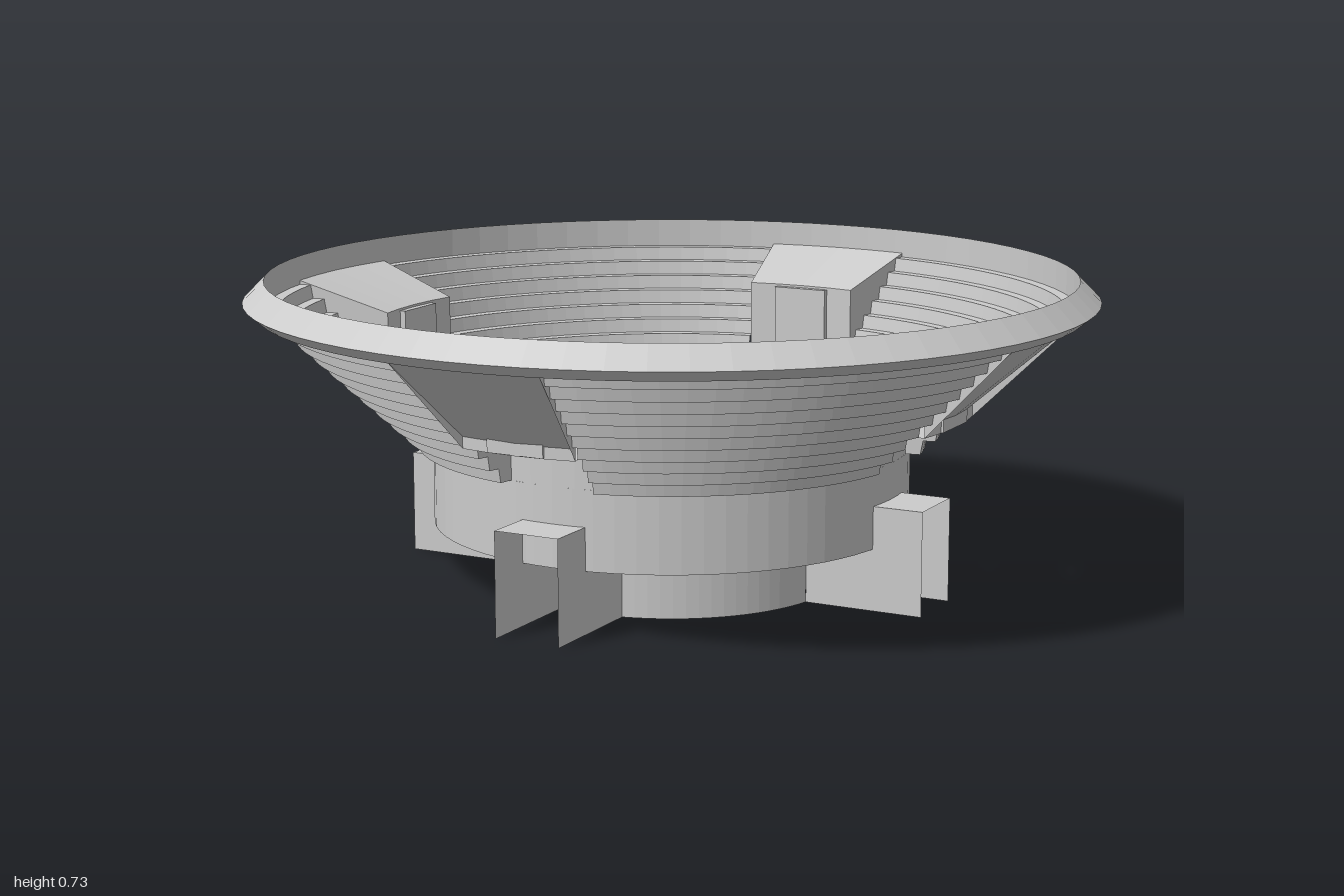
import * as THREE from 'three';

const mat = new THREE.MeshStandardMaterial({ color: 0xcccccc, flatShading: true, side: THREE.DoubleSide });
const HALF = THREE.MathUtils.degToRad(11.3); // half angle of each gate sector
const QUARTER = Math.PI / 2;

function add(parent, name, geometry) {
  const mesh = new THREE.Mesh(geometry, mat);
  mesh.name = name;
  parent.add(mesh);
  return mesh;
}

const points = (list) => list.map(([r, y]) => new THREE.Vector2(r, y));

// Revolve a [radius, height] profile around y, centred on angle mid
function sweep(profile, mid = 0, span = Math.PI * 2, segments = 72) {
  return new THREE.LatheGeometry(points(profile), segments, mid - span / 2, span);
}

// Flat radial wall: a [radius, height] outline standing at angle phi
function radialWall(outline, phi) {
  return new THREE.ShapeGeometry(new THREE.Shape(points(outline))).rotateY(phi - QUARTER);
}

export function createModel() {
  const model = new THREE.Group();
  model.name = 'arena';

  // Stepped seating profile
  const steps = [[0.565, 0.33]];
  for (let i = 0; i < 10; i++) {
    const r = 0.6 + 0.035 * i;
    const y = 0.33 + 0.033 * i;
    steps.push([r, y], [r + 0.006, y + 0.033]);
  }
  steps.push([0.95, 0.66]);

  // Rim and lower drum with its annular floor
  add(model, 'rim', sweep([[0.95, 0.655], [0.95, 0.73], [1, 0.68], [0.97, 0.655], [0.95, 0.655]]));
  add(model, 'drum', sweep([[0.39, 0.145], [0.565, 0.145], [0.565, 0.33]]));

  // Raised cross-shaped stage
  const arm = 0.08;
  const a = Math.asin(arm / 0.4);
  const stage = new THREE.Shape();
  for (let k = 0; k < 4; k++) {
    const t = k * QUARTER;
    const c = Math.cos(t), s = Math.sin(t);
    for (const side of [-arm, arm]) {
      const x = 0.56 * c - side * s, y = 0.56 * s + side * c;
      if (k === 0 && side < 0) stage.moveTo(x, y);
      else stage.lineTo(x, y);
    }
    stage.absarc(0, 0, 0.4, t + a, t + QUARTER - a, false);
  }
  const slab = new THREE.ExtrudeGeometry(stage, { depth: 0.1, bevelEnabled: false, curveSegments: 16 });
  slab.rotateX(-QUARTER).translate(0, 0.145, 0);
  add(model, 'stage', slab);

  for (let k = 0; k < 4; k++) {
    const phi = k * QUARTER;
    const between = phi + QUARTER / 2;

    // Seating and foundation wall between neighbouring gates
    add(model, 'seating', sweep(steps, between, QUARTER - 2 * HALF, 18));
    add(model, 'foundationWall', sweep([[0.4, 0], [0.4, 0.145]], between, QUARTER - 2 * a, 16));

    // Gate block: curbed ledge, inner face, sloping roof and underside
    const gate = new THREE.Group();
    gate.name = 'gate';
    model.add(gate);
    add(gate, 'ledgeAndRoof', sweep([[0.565, 0.33], [0.565, 0.44], [0.578, 0.44], [0.578, 0.428],
      [0.72, 0.428], [0.72, 0.6], [0.95, 0.67]], phi, 2 * HALF, 4));
    add(gate, 'underside', sweep([[0.72, 0.428], [0.72, 0.455], [0.95, 0.655]], phi, 2 * HALF, 4));
    for (const side of [-HALF, HALF]) {
      add(gate, 'blockSide', radialWall([[0.72, 0.428], [0.95, 0.655], [0.95, 0.67], [0.72, 0.6]], phi + side));
      add(gate, 'ledgeSide', radialWall([...steps.slice(0, 8), [0.705, 0.44], [0.565, 0.44]], phi + side));
    }
    const doorPanel = new THREE.BoxGeometry(0.14, 0.165, 0.02);
    doorPanel.translate(0, 0.512, 0.712).rotateY(phi);
    add(gate, 'doorPanel', doorPanel);

    // Open tunnel: two side walls and a roof outside the drum
    const tunnel = new THREE.Group();
    tunnel.name = 'tunnel';
    tunnel.rotation.y = phi;
    model.add(tunnel);
    const inner = 0.392;
    for (const x of [-arm, arm]) {
      const wall = radialWall([[inner, 0], [0.68, 0], [0.68, 0.245], [0.56, 0.245], [0.56, 0.145], [inner, 0.145]], 0);
      add(tunnel, 'tunnelWall', wall.translate(x, 0, 0));
    }
    const roof = new THREE.PlaneGeometry(2 * arm, 0.12).rotateX(-QUARTER);
    add(tunnel, 'tunnelRoof', roof.translate(0, 0.245, 0.62));
  }
  return model;
}
